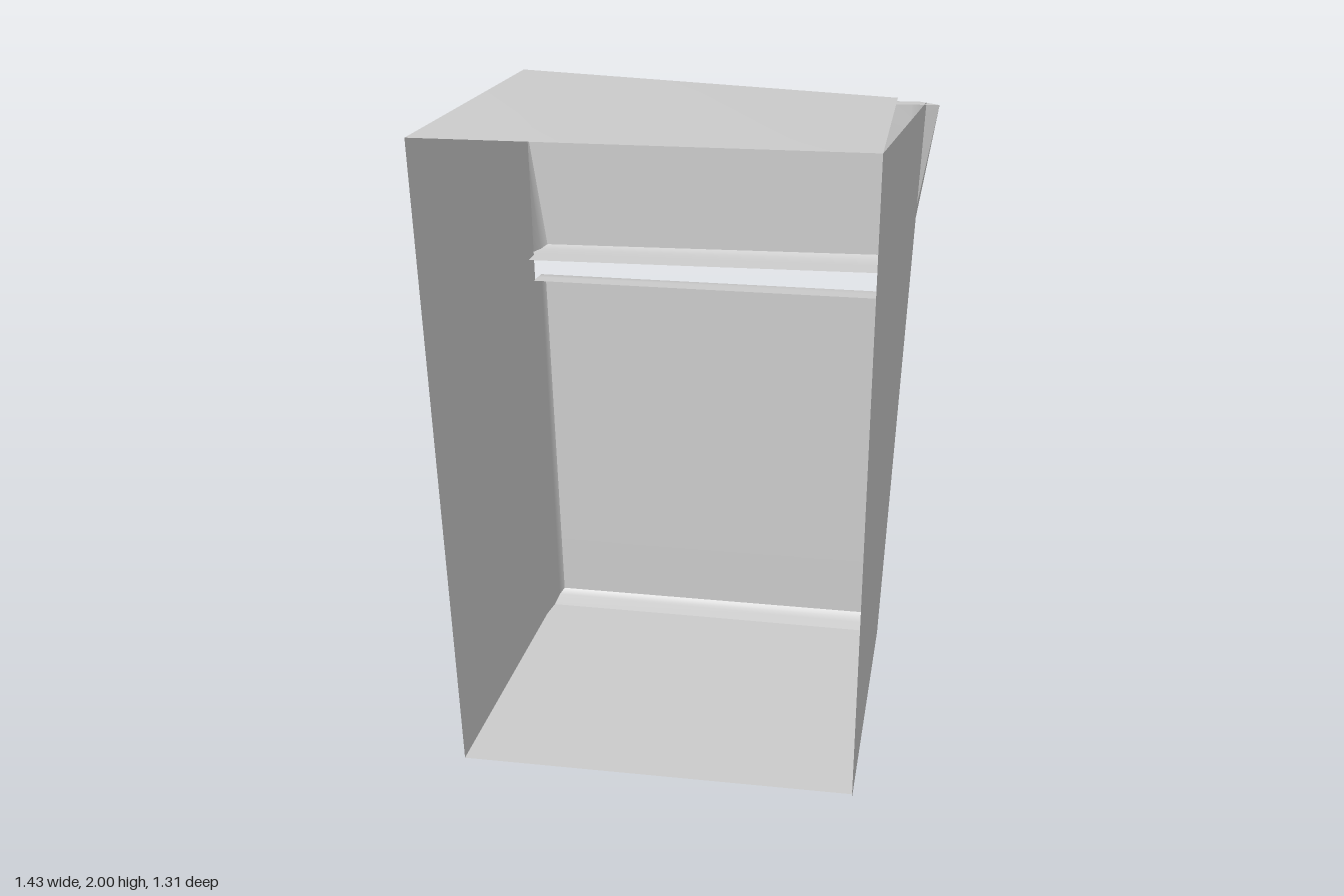
import * as THREE from 'three';

const material = new THREE.MeshStandardMaterial({ color: 0xcccccc, side: THREE.DoubleSide });
const V = (p) => new THREE.Vector3(...p);

// Thin sheet spanning rows of points; every row has the same length
function sheet(name, rows) {
  const n = rows[0].length;
  const index = [];
  for (let r = 0; r < rows.length - 1; r++) {
    for (let i = 0; i < n - 1; i++) {
      const a = r * n + i, b = a + n;
      index.push(a, b, a + 1, a + 1, b, b + 1);
    }
  }
  const geometry = new THREE.BufferGeometry().setFromPoints(rows.flat());
  geometry.setIndex(index);
  geometry.computeVertexNormals();
  const mesh = new THREE.Mesh(geometry, material);
  mesh.name = name;
  return mesh;
}

// Slightly twisted panel between four corners, given in loop order
function panel(name, a, b, c, d, steps = 6) {
  const [A, B, C, D] = [a, b, c, d].map(V);
  const rows = [];
  for (let j = 0; j <= steps; j++) {
    const left = A.clone().lerp(D, j / steps), right = B.clone().lerp(C, j / steps);
    rows.push(Array.from({ length: steps + 1 }, (_, i) => left.clone().lerp(right, i / steps)));
  }
  return sheet(name, rows);
}

// Shallow tray: a plate with four turned edges rounded into it
function tray(name, plate, rim) {
  const group = new THREE.Group();
  group.name = name;
  const outer = plate.map(V), inner = rim.map(V);
  const center = outer.reduce((s, p) => s.add(p), new THREE.Vector3()).multiplyScalar(0.25);
  const inset = outer.map((p) => p.clone().add(
    new THREE.Vector3(Math.sign(center.x - p.x), Math.sign(center.y - p.y), 0).multiplyScalar(0.012)));
  const face = inset.map((p) => p.toArray());
  group.add(panel(name + 'Plate', ...face));
  const sides = ['Bottom', 'Right', 'Top', 'Left'];
  sides.forEach((side, i) => {
    const k = (i + 1) % 4;
    const row = (f) => [f(i), f(k)];
    group.add(sheet(name + side + 'Edge', [
      row((q) => inner[q].clone()),
      row((q) => inner[q].clone().lerp(outer[q], 0.5)),
      row((q) => inner[q].clone().lerp(outer[q], 0.88)),
      row((q) => inset[q].clone()),
    ]));
  });
  return group;
}

export function createModel() {
  const model = new THREE.Group();
  model.name = 'cabinet';

  // Shell, open at both ends
  model.add(
    panel('topPanel', [-0.645, 1.985, 0.655], [0.605, 1.985, 0.655], [0.58, 1.94, -0.55], [-0.665, 2, -0.55]),
    panel('floorPanel', [-0.615, 0.035, 0.555], [0.59, 0.045, 0.555], [0.59, 0.025, -0.52], [-0.62, 0.025, -0.52]),
    panel('leftWall', [0.59, 0.03, 0.555], [0.595, 0.02, -0.52], [0.672, 1.93, -0.54], [0.605, 1.985, 0.655]),
    panel('rightWall', [-0.615, 0.035, 0.555], [-0.62, 0.02, -0.52], [-0.665, 2, -0.55], [-0.645, 1.985, 0.655]),
  );

  // Large lower tray on the back
  model.add(tray('lowerDoor',
    [[-0.605, 0.045, -0.597], [0.585, 0.045, -0.597], [0.63, 1.27, -0.64], [-0.65, 1.275, -0.64]],
    [[-0.62, 0, -0.43], [0.585, 0.025, -0.515], [0.6, 1.275, -0.52], [-0.65, 1.28, -0.52]]));

  // Small upper tray with splayed ends
  model.add(tray('upperDoor',
    [[-0.64, 1.37, -0.64], [0.64, 1.385, -0.64], [0.635, 1.915, -0.655], [-0.72, 1.895, -0.655]],
    [[-0.7, 1.365, -0.475], [0.62, 1.375, -0.48], [0.715, 1.93, -0.49], [-0.66, 1.91, -0.48]]));

  return model;
}
